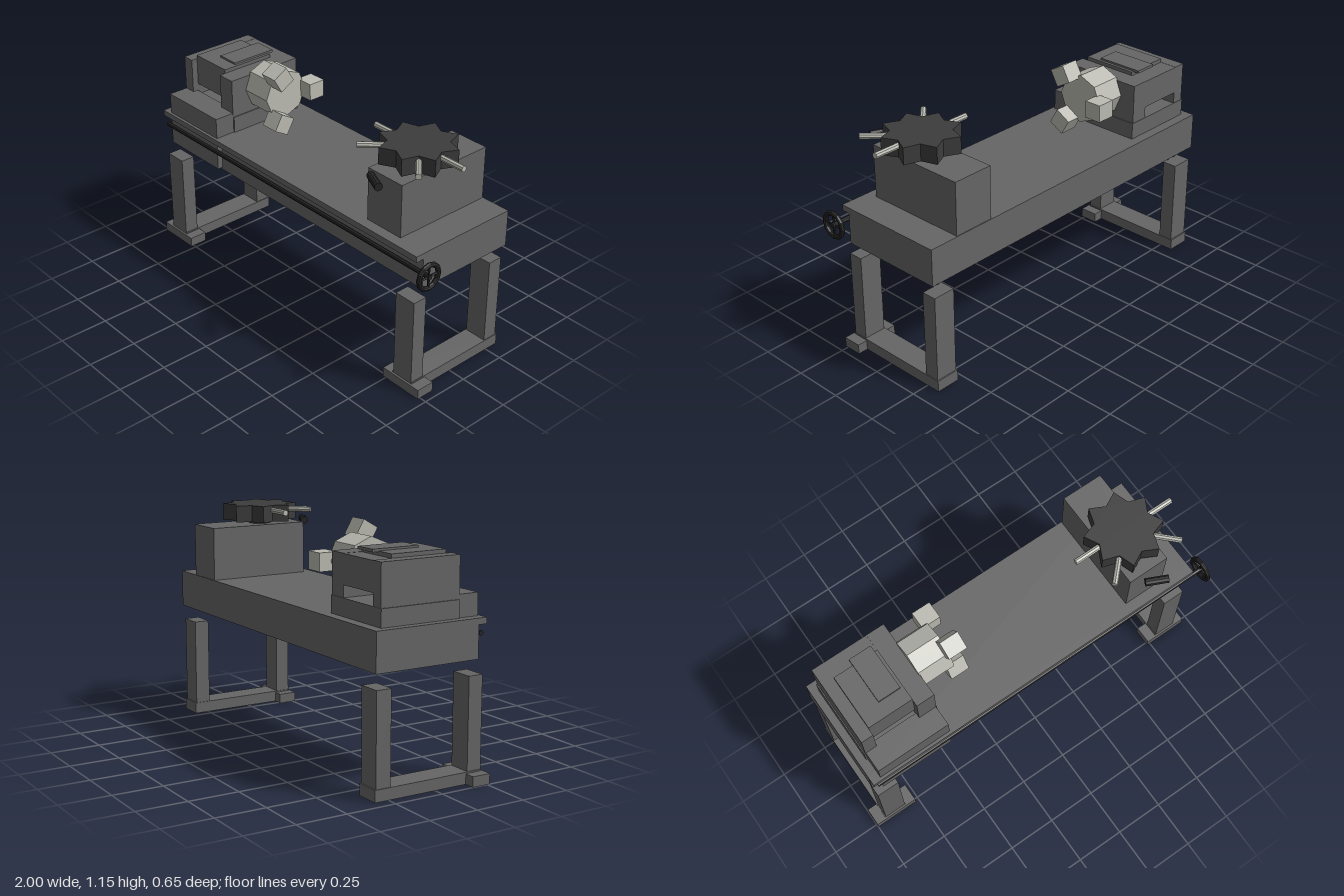
import * as THREE from 'three';

export function createModel() {
  const model = new THREE.Group();
  model.name = 'turretLathe';
  const material = (name, color, flatShading = true) => {
    const m = new THREE.MeshStandardMaterial({ color, flatShading });
    m.name = name;
    return m;
  };
  const castIron = material('castIron', 0x666666);
  const steel = material('brightSteel', 0xbcbcb4);
  const darkIron = material('darkIron', 0x3c3c3c);
  const black = material('blackHandle', 0x262626);

  const add = (name, geometry, mat, parent = model) => {
    const mesh = new THREE.Mesh(geometry, mat);
    mesh.name = name;
    parent.add(mesh);
    return mesh;
  };
  // Box given by its limits on each axis
  const box = (name, [x0, x1], [y0, y1], [z0, z1], mat = castIron) => {
    const mesh = add(name, new THREE.BoxGeometry(x1 - x0, y1 - y0, z1 - z0), mat);
    mesh.position.set((x0 + x1) / 2, (y0 + y1) / 2, (z0 + z1) / 2);
    return mesh;
  };

  // Two leg frames: a cross bar, a wide front foot and two posts
  for (const x of [-0.884, 0.848]) {
    box('footBar', [x - 0.062, x + 0.062], [0, 0.057], [-0.322, 0.255]);
    box('frontFoot', [x - 0.115, x + 0.115], [0, 0.05], [0.17, 0.265]);
    box('frontLeg', [x - 0.058, x + 0.058], [0.05, 0.5], [0.18, 0.255]);
    box('backLeg', [x - 0.058, x + 0.058], [0.05, 0.5], [-0.315, -0.238]);
  }

  // Bed with a thin front ledge
  box('bed', [-0.947, 0.922], [0.573, 0.76], [-0.322, 0.225]);
  box('bedLedge', [-0.947, 0.922], [0.73, 0.76], [0.22, 0.268]);

  // Headstock: gearbox, base, two side frames, bridge and cover
  box('gearbox', [-0.9, -0.512], [0.585, 0.867], [0.12, 0.253]);
  box('headstockBase', [-0.908, -0.505], [0.755, 0.845], [-0.272, 0.145]);
  box('headstockEndFrame', [-0.902, -0.84], [0.84, 1.045], [-0.27, 0.148]);
  box('headstockSpindleFrame', [-0.605, -0.51], [0.84, 1.045], [-0.27, 0.148]);
  box('headstockBridge', [-0.841, -0.604], [0.903, 1.044], [-0.27, 0.115]);
  box('headstockCover', [-0.84, -0.605], [1.03, 1.064], [-0.175, 0.115]);
  box('headstockLid', [-0.738, -0.62], [1.06, 1.074], [-0.205, 0.04]);

  // Three-jaw chuck, turning about the x axis
  const chuck = new THREE.Group();
  chuck.name = 'chuck';
  chuck.position.set(-0.43, 0.97, -0.063);
  model.add(chuck);
  const body = add('chuckBody', new THREE.CylinderGeometry(0.125, 0.125, 0.17, 8), steel, chuck);
  body.rotation.z = Math.PI / 2;
  for (let i = 0; i < 3; i++) {
    const a = Math.PI + i * Math.PI * 2 / 3;
    const jaw = add('chuckJaw', new THREE.BoxGeometry(0.098, 0.088, 0.09), steel, chuck);
    jaw.position.set(0.109, -Math.sin(a) * 0.142, Math.cos(a) * 0.142);
    jaw.rotation.x = a;
  }

  // Tailstock carrying the turret
  box('turretPedestal', [0.55, 0.765], [0.755, 1.028], [-0.318, 0.213]);

  // Eight-pointed turret
  const turret = new THREE.Group();
  turret.name = 'turret';
  turret.position.set(0.655, 0, 0.007);
  model.add(turret);
  const star = new THREE.Shape();
  for (let i = 0; i < 16; i++) {
    const a = (i + 1) * Math.PI / 8;
    const r = i % 2 ? 0.14 : 0.192;
    star[i ? 'lineTo' : 'moveTo'](Math.cos(a) * r, Math.sin(a) * r);
  }
  const starGeometry = new THREE.ExtrudeGeometry(star, { depth: 0.085, bevelEnabled: false });
  starGeometry.rotateX(-Math.PI / 2);
  add('turretHead', starGeometry, darkIron, turret).position.y = 1.046;
  const pivot = add('turretPivot', new THREE.CylinderGeometry(0.06, 0.06, 0.03, 8), darkIron, turret);
  pivot.position.y = 1.035;

  // Four tool rods on the front half of the turret
  for (let i = 0; i < 4; i++) {
    const a = [0, 0.25, 0.75, 1][i] * Math.PI;
    const rod = add('toolRod', new THREE.CylinderGeometry(0.015, 0.015, 0.177, 8), steel, turret);
    rod.position.set(Math.cos(a) * 0.188, 1.104, Math.sin(a) * 0.188);
    rod.rotation.set(0, -a, -Math.PI / 2);
  }

  // Short grip in front of the turret
  const grip = add('turretGrip', new THREE.CylinderGeometry(0.02, 0.02, 0.112, 10), black);
  grip.position.set(0.657, 1.028, 0.276);
  grip.rotation.set(0, -0.44, Math.PI / 2);

  // Feed rod along the front of the bed
  const feedRod = add('feedRod', new THREE.CylinderGeometry(0.012, 0.012, 1.91, 8), black);
  feedRod.position.set(0.03, 0.685, 0.256);
  feedRod.rotation.z = Math.PI / 2;

  // Handwheel: rim, crossed spokes and hub
  const wheel = new THREE.Group();
  wheel.name = 'handwheel';
  wheel.position.set(0.987, 0.685, 0.256);
  wheel.rotation.y = Math.PI / 2;
  model.add(wheel);
  add('handwheelRim', new THREE.TorusGeometry(0.06, 0.0125, 8, 12), black, wheel);
  for (let i = 0; i < 2; i++) {
    const spoke = add('handwheelSpoke', new THREE.CylinderGeometry(0.006, 0.006, 0.115, 6), black, wheel);
    spoke.rotation.z = i * Math.PI / 2;
  }
  const hub = add('handwheelHub', new THREE.CylinderGeometry(0.013, 0.013, 0.02, 8), black, wheel);
  hub.rotation.x = Math.PI / 2;

  return model;
}
